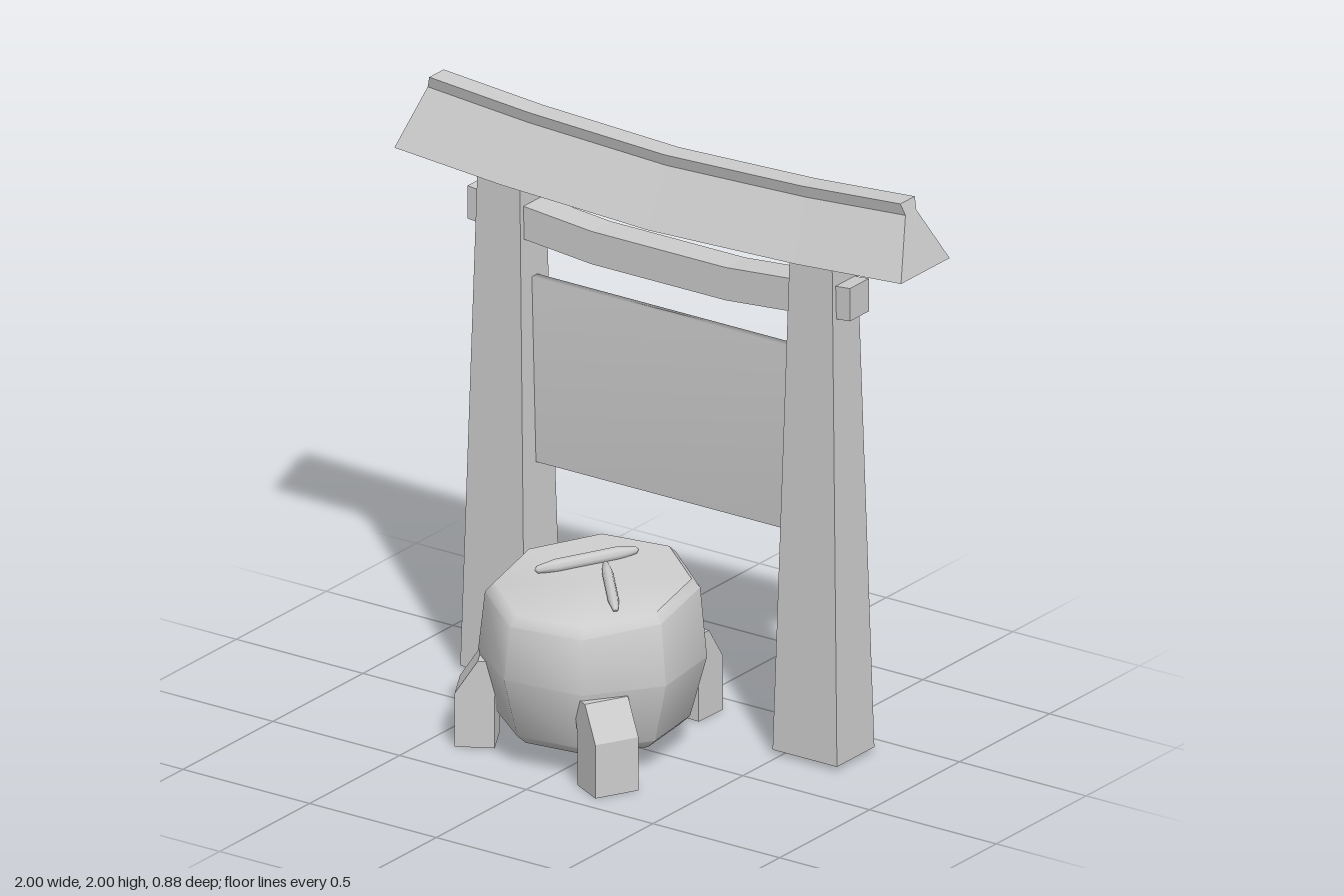
import * as THREE from 'three';
import { mergeVertices, toCreasedNormals } from 'three/addons/utils/BufferGeometryUtils.js';

const GATE_Z = -0.31;
const POT = { x: -0.047, z: 0.065 };
const rad = THREE.MathUtils.degToRad;

// Flat-shaded solid through matching cross-sections (each a loop of [x, y, z]), capped at both ends.
function loft(sections) {
  const pos = [];
  const n = sections[0].length;
  const tri = (a, b, c) => pos.push(...a, ...b, ...c);
  for (let s = 0; s < sections.length - 1; s++) {
    const p = sections[s], q = sections[s + 1];
    for (let i = 0; i < n; i++) {
      const j = (i + 1) % n;
      tri(p[i], p[j], q[j]);
      tri(p[i], q[j], q[i]);
    }
  }
  const first = sections[0], last = sections[sections.length - 1];
  const fan = (loop, flip) => {
    const mid = [0, 1, 2].map((k) => loop.reduce((sum, v) => sum + v[k], 0) / n);
    for (let i = 0; i < n; i++) {
      const a = loop[i], b = loop[(i + 1) % n];
      if (flip) tri(mid, b, a); else tri(mid, a, b);
    }
  };
  fan(first, true);
  fan(last, false);
  const g = new THREE.BufferGeometry();
  g.setAttribute('position', new THREE.Float32BufferAttribute(pos, 3));
  g.computeVertexNormals();
  return g;
}

export function createModel() {
  const model = new THREE.Group();
  const stone = new THREE.MeshStandardMaterial({ color: 0xcccccc });
  stone.name = 'stone grey';

  const add = (name, geometry, parent = model) => {
    const mesh = new THREE.Mesh(geometry, stone);
    mesh.name = name;
    parent.add(mesh);
    return mesh;
  };

  // Gate
  const gate = new THREE.Group();
  gate.name = 'gate';
  model.add(gate);

  // Tapered square pillars
  const rect = (x, y, hx, hz) => [
    [x - hx, y, GATE_Z + hz], [x + hx, y, GATE_Z + hz],
    [x + hx, y, GATE_Z - hz], [x - hx, y, GATE_Z - hz],
  ];
  for (const [name, x] of [['rightPillar', -0.635], ['leftPillar', 0.598]]) {
    add(name, loft([rect(x, 0.015, 0.127, 0.104), rect(x, 1.77, 0.083, 0.069)]), gate);
  }

  // Upswept roof beam: broad base, narrow neck and flared ridge (scale of x, y, half depth)
  const roofProfile = [[1, 1.72, 0.135], [0.943, 1.91, 0.03], [0.93, 1.95, 0.04]];
  const roofStations = [[-1, 0.05], [-0.58, 0.02], [0, 0], [0.58, 0.02], [1, 0.05]];
  add('roofBeam', loft(roofStations.map(([x, lift]) => {
    const side = (sign) => roofProfile.map(([sx, y, hz]) => [x * sx, y + lift, GATE_Z + sign * hz]);
    return [...side(-1), ...side(1).reverse()];
  })), gate);

  // Bent tie beam running through both pillars
  const tieStations = [[-0.77, 1.608], [-0.28, 1.565], [0.25, 1.565], [0.74, 1.608]];
  add('tieBeam', loft(tieStations.map(([x, y]) => [
    [x, y - 0.057, GATE_Z - 0.053], [x, y + 0.057, GATE_Z - 0.053],
    [x, y + 0.057, GATE_Z + 0.053], [x, y - 0.057, GATE_Z + 0.053],
  ])), gate);

  // Hanging panel with soft shared normals
  let panel = new THREE.BoxGeometry(1.1, 0.64, 0.03);
  panel.deleteAttribute('normal');
  panel.deleteAttribute('uv');
  panel = mergeVertices(panel);
  panel.computeVertexNormals();
  add('hangingPanel', panel, gate).position.set(-0.018, 1.07, GATE_Z);

  // Pot
  const pot = new THREE.Group();
  pot.name = 'pot';
  model.add(pot);

  // Octagonal body with a lid that slopes down to the front
  const potProfile = [[0, 0.08], [0.28, 0.08], [0.315, 0.112], [0.37, 0.32], [0.348, 0.54], [0.32, 0.57], [0, 0.57]];
  const body = new THREE.LatheGeometry(potProfile.map((p) => new THREE.Vector2(...p)), 8, rad(30));
  const bp = body.attributes.position;
  for (let i = 0; i < bp.count; i++) {
    if (bp.getY(i) > 0.5) bp.setY(i, bp.getY(i) - 0.12 * bp.getZ(i));
  }
  body.deleteAttribute('uv');
  add('potBody', toCreasedNormals(body, rad(47)), pot).position.set(POT.x, 0, POT.z);

  // Wedge feet: [name, outer face centre x, z, outward direction in degrees from +x towards +z]
  const feet = [
    ['rightFoot', -0.437, 0.268, 151],
    ['leftFoot', 0.262, 0.365, 28],
    ['backFoot', 0.045, -0.425, 272],
  ];
  const footShape = new THREE.Shape(
    [[0, 0], [0, 0.185], [-0.075, 0.3], [-0.16, 0.3], [-0.13, 0.18], [-0.13, 0]].map((p) => new THREE.Vector2(...p)),
  );
  const footGeometry = new THREE.ExtrudeGeometry(footShape, { depth: 0.155, bevelEnabled: false });
  footGeometry.translate(0, 0, -0.0775);
  for (const [name, x, z, angle] of feet) {
    const foot = add(name, footGeometry, pot);
    foot.position.set(x, 0, z);
    foot.rotation.y = -rad(angle);
  }

  // Two tapered sticks lying on the lid: ends as [x, z] and radius
  const lidY = (z) => 0.57 - 0.12 * (z - POT.z);
  const sticks = [
    ['thickStick', [-0.245, 0.11], [-0.028, -0.165], 0.024],
    ['thinStick', [-0.075, -0.045], [0.147, 0.21], 0.018],
  ];
  for (const [name, a, b, r] of sticks) {
    const from = new THREE.Vector3(a[0], lidY(a[1]) + r * 0.4, a[1]);
    const to = new THREE.Vector3(b[0], lidY(b[1]) + r * 0.4, b[1]);
    const len = from.distanceTo(to);
    const outline = [[0, 0], [0.55 * r, 0.01], [r, 0.07], [r, len - 0.07], [0.55 * r, len - 0.01], [0, len]];
    const stick = add(name, new THREE.LatheGeometry(outline.map((p) => new THREE.Vector2(...p)), 8), pot);
    stick.position.copy(from);
    stick.quaternion.setFromUnitVectors(new THREE.Vector3(0, 1, 0), to.sub(from).normalize());
  }

  return model;
}
